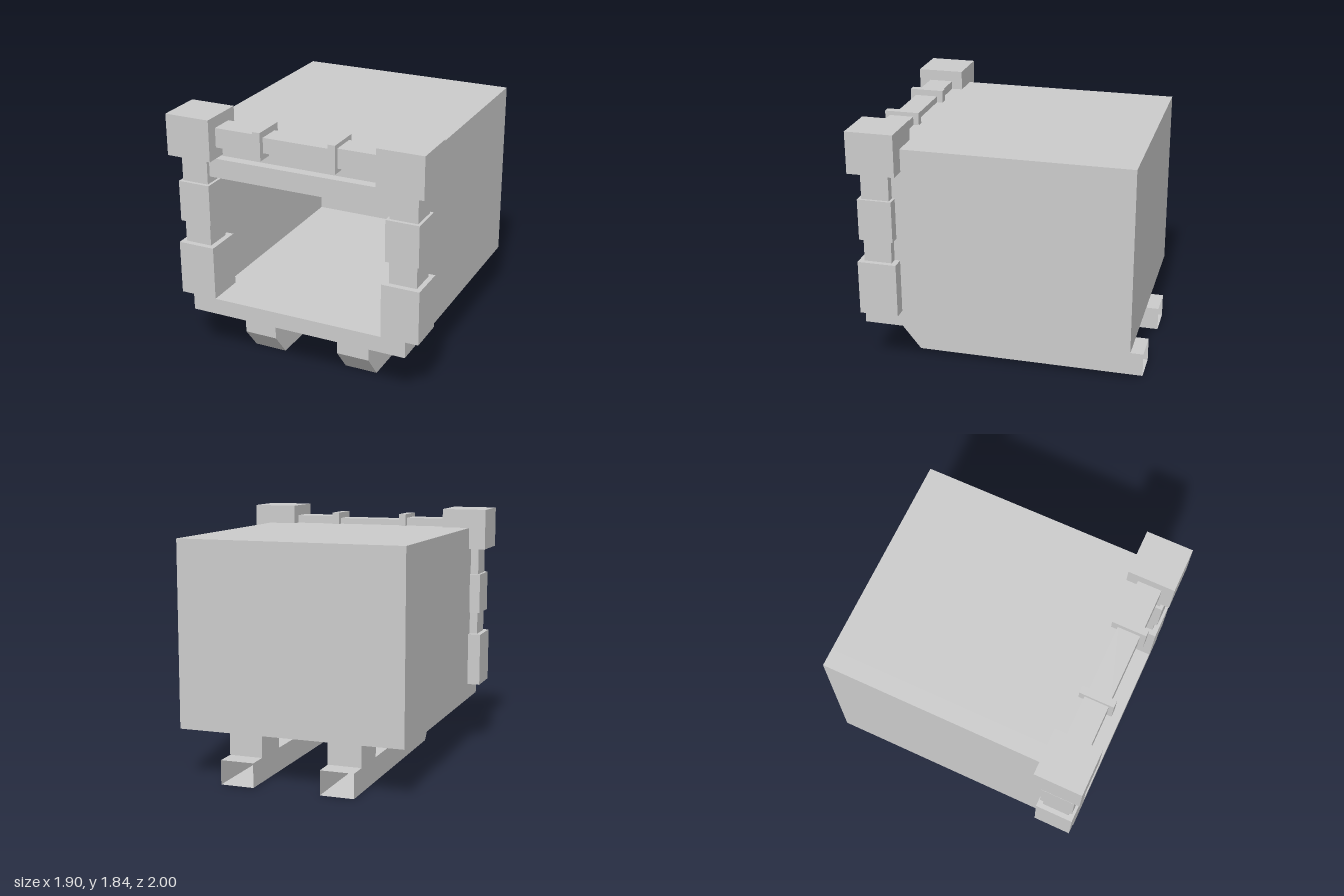
import * as THREE from 'three';
import { mergeGeometries } from 'three/addons/utils/BufferGeometryUtils.js';

const material = new THREE.MeshStandardMaterial({ color: 0xcccccc, flatShading: true });
const openMaterial = new THREE.MeshStandardMaterial({ color: 0xcccccc, flatShading: true, side: THREE.DoubleSide });

// Box given by its min and max on each axis
function box(parent, name, [x0, x1], [y0, y1], [z0, z1]) {
  const mesh = new THREE.Mesh(new THREE.BoxGeometry(x1 - x0, y1 - y0, z1 - z0), material);
  mesh.position.set((x0 + x1) / 2, (y0 + y1) / 2, (z0 + z1) / 2);
  mesh.name = name;
  parent.add(mesh);
}

// Same box on both sides
function boxPair(parent, name, [x0, x1], y, z) {
  box(parent, name + 'Left', [x0, x1], y, z);
  box(parent, name + 'Right', [-x1, -x0], y, z);
}

// Hollow skid from a side profile (z, y); the rear end is left open
function skidGeometry(width) {
  const profile = [
    [0.82, 0.36], [0.82, 0.175], [0.68, 0], [-1, 0], [-1, 0.175], [-0.85, 0.175],
    [-0.85, 0.36], [-0.55, 0.36], [-0.55, 0.175], [0.54, 0.175], [0.54, 0.36],
  ];
  const h = width / 2;
  const parts = [1, -1].map((side) => {
    const shape = new THREE.Shape(profile.map(([z, y]) => new THREE.Vector2(-side * z, y)));
    return new THREE.ShapeGeometry(shape).rotateY(side * Math.PI / 2).translate(side * h, 0, 0).toNonIndexed();
  });
  const positions = [];
  profile.forEach(([za, ya], i) => {
    const [zb, yb] = profile[(i + 1) % profile.length];
    if (za === -1 && zb === -1) return;
    positions.push(-h, ya, za, -h, yb, zb, h, yb, zb, -h, ya, za, h, yb, zb, h, ya, za);
  });
  const rim = new THREE.BufferGeometry();
  rim.setAttribute('position', new THREE.Float32BufferAttribute(positions, 3));
  rim.computeVertexNormals();
  parts.forEach((p) => p.deleteAttribute('uv'));
  return mergeGeometries([...parts, rim]);
}

export function createModel() {
  const model = new THREE.Group();
  model.name = 'openCrate';

  // Hollow body, open at the front
  const body = new THREE.Group();
  body.name = 'body';
  model.add(body);
  box(body, 'floor', [-0.825, 0.825], [0.36, 0.48], [-0.955, 0.97]);
  boxPair(body, 'sideWall', [0.7, 0.825], [0.48, 1.7], [-0.955, 0.83]);
  box(body, 'backWall', [-0.7, 0.7], [0.48, 1.7], [-0.955, -0.83]);
  box(body, 'roof', [-0.7, 0.7], [1.5, 1.7], [-0.83, 0.83]);

  // Front frame: stacked pillars, lintel and top rail
  const frame = new THREE.Group();
  frame.name = 'frontFrame';
  model.add(frame);
  boxPair(frame, 'pillar', [0.685, 0.885], [0.48, 1.56], [0.73, 0.93]);
  boxPair(frame, 'pillarBase', [0.645, 0.92], [0.48, 0.875], [0.69, 0.97]);
  boxPair(frame, 'pillarBand', [0.665, 0.905], [1.04, 1.34], [0.71, 0.955]);
  boxPair(frame, 'cornerBlock', [0.615, 0.95], [1.54, 1.84], [0.66, 1]);
  box(frame, 'lintel', [-0.69, 0.69], [1.39, 1.53], [0.76, 0.9]);
  box(frame, 'railCentre', [-0.26, 0.26], [1.635, 1.745], [0.745, 0.91]);
  boxPair(frame, 'railEnd', [0.29, 0.63], [1.62, 1.76], [0.74, 0.915]);
  boxPair(frame, 'railCollar', [0.25, 0.305], [1.59, 1.79], [0.7, 0.95]);

  // Skids underneath
  const geometry = skidGeometry(0.245);
  for (const side of [1, -1]) {
    const skid = new THREE.Mesh(geometry, openMaterial);
    skid.name = side > 0 ? 'skidLeft' : 'skidRight';
    skid.position.x = side * 0.368;
    model.add(skid);
  }
  return model;
}
